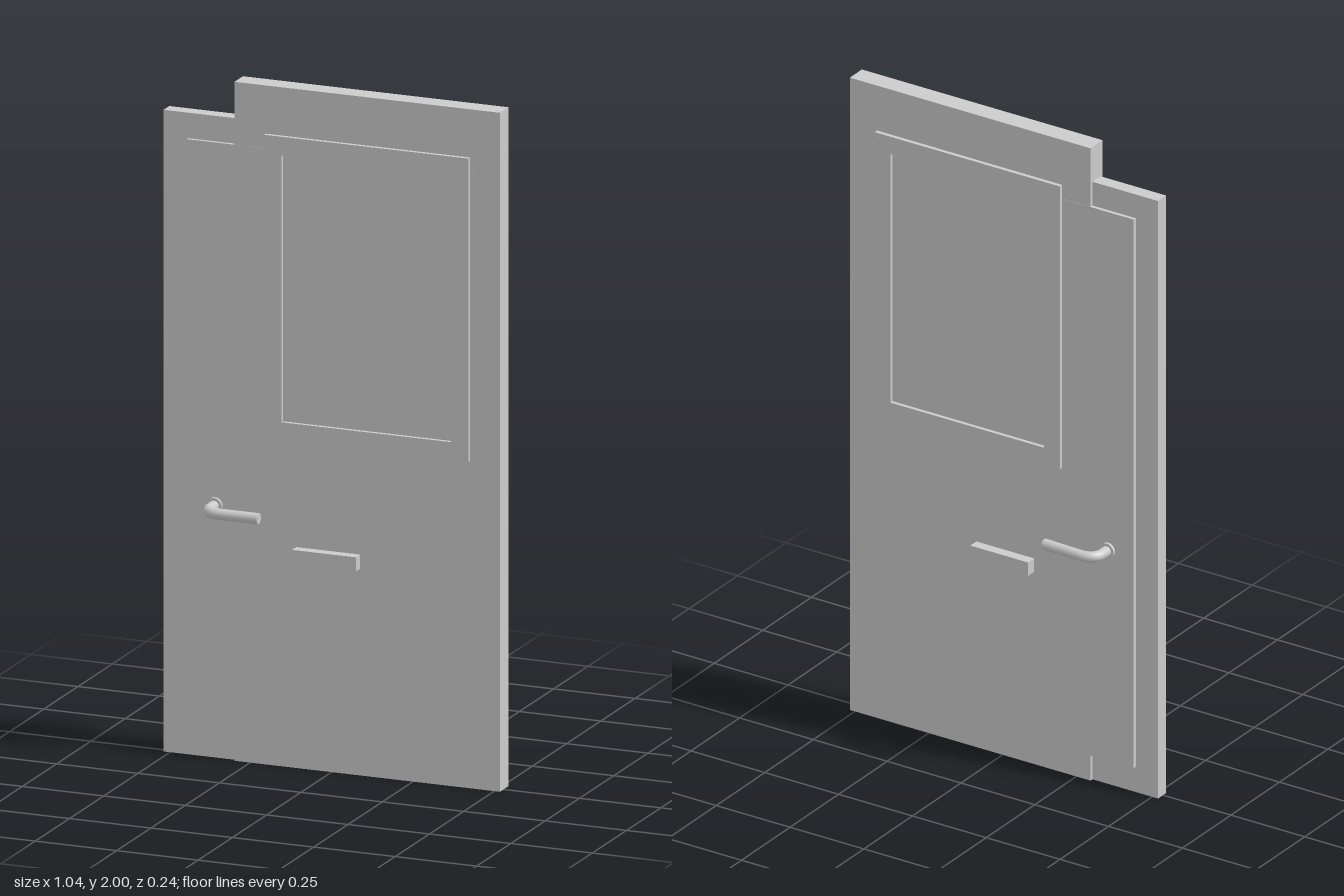
import * as THREE from 'three';

const MID = -0.005; // middle plane of the leaf in z
const material = new THREE.MeshStandardMaterial({ color: 0xcccccc });

function add(parent, name, geometry, x = 0, y = 0, z = 0) {
  const mesh = new THREE.Mesh(geometry, material);
  mesh.name = name;
  mesh.position.set(x, y, z);
  parent.add(mesh);
  return mesh;
}

// Box given by its x and y limits and total depth, centred on the leaf
function slab(parent, name, x0, x1, y0, y1, depth) {
  const geometry = new THREE.BoxGeometry(x1 - x0, y1 - y0, depth);
  return add(parent, name, geometry, (x0 + x1) / 2, (y0 + y1) / 2, MID);
}

function rectangle(path, x0, x1, y0, y1) {
  path.moveTo(x0, y0);
  path.lineTo(x1, y0);
  path.lineTo(x1, y1);
  path.lineTo(x0, y1);
  path.closePath();
  return path;
}

// Lever handle: rose, bent rod and flat end cap; side is +1 front, -1 back
function makeHandle(side) {
  const handle = new THREE.Group();
  handle.name = side > 0 ? 'frontHandle' : 'backHandle';
  const x = -0.358, y = 0.746, radius = 0.016;
  const reach = side > 0 ? 0.105 : 0.108;
  const tip = side > 0 ? new THREE.Vector3(-0.19, y, 0.105) : new THREE.Vector3(-0.186, y, -0.103);

  const rose = new THREE.CylinderGeometry(0.024, 0.024, 0.012, 24).rotateX(Math.PI / 2);
  add(handle, 'handleRose', rose, x, y, MID + side * 0.034);

  const start = new THREE.Vector3(x, y, side * 0.02);
  const bendIn = new THREE.Vector3(x, y, side * (reach - 0.045));
  const corner = new THREE.Vector3(x, y, side * reach);
  const bendOut = new THREE.Vector3(x + 0.05, y, side * reach);
  const path = new THREE.CurvePath();
  path.add(new THREE.LineCurve3(start, bendIn));
  path.add(new THREE.QuadraticBezierCurve3(bendIn, corner, bendOut));
  path.add(new THREE.LineCurve3(bendOut, tip));
  add(handle, 'handleRod', new THREE.TubeGeometry(path, 40, radius, 16));

  const cap = add(handle, 'handleEnd', new THREE.CircleGeometry(radius, 16), tip.x, tip.y, tip.z);
  cap.lookAt(tip.clone().multiplyScalar(2).sub(bendOut));
  return handle;
}

export function createModel() {
  const door = new THREE.Group();
  door.name = 'door';

  // Leaf: thick main slab, thinner latch-side strip, raised inner panel
  slab(door, 'mainSlab', -0.298, 0.517, 0, 2, 0.062);
  slab(door, 'latchStrip', -0.52, -0.298, 0, 1.89, 0.042);
  slab(door, 'innerPanel', -0.445, 0.445, 0.08, 1.815, 0.0635);

  // Window surround, standing proud of both faces
  const frame = rectangle(new THREE.Shape(), -0.202, 0.425, 0.963, 1.858);
  frame.holes.push(rectangle(new THREE.Path(), -0.148, 0.372, 1.017, 1.803));
  const depth = 0.086;
  const frameGeometry = new THREE.ExtrudeGeometry(frame, { depth, bevelEnabled: false });
  add(door, 'windowFrame', frameGeometry, 0, 0, MID - depth / 2);

  // Letter plate running through the leaf
  slab(door, 'letterPlate', -0.108, 0.088, 0.609, 0.651, 0.126);

  for (const side of [1, -1]) door.add(makeHandle(side));
  return door;
}
